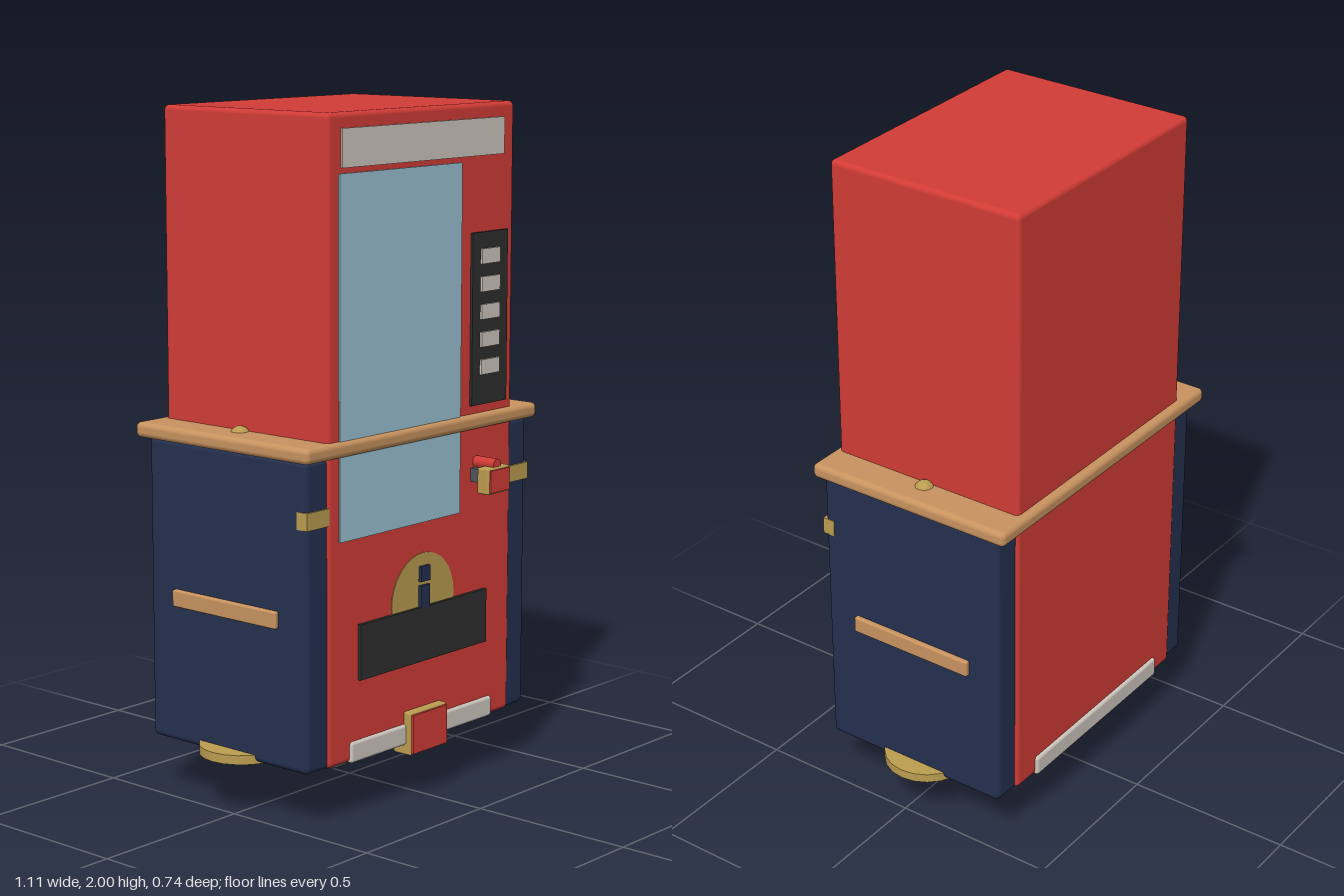
import * as THREE from 'three';
import { RoundedBoxGeometry } from 'three/addons/geometries/RoundedBoxGeometry.js';

const mat = (name, color) => {
  const m = new THREE.MeshStandardMaterial({ color });
  m.name = name;
  return m;
};

export function createModel() {
  const model = new THREE.Group();
  model.name = 'vendingMachine';

  const red = mat('red', 0xd23c36);
  const navy = mat('navy', 0x24304f);
  const tan = mat('tan', 0xc8935f);
  const gold = mat('gold', 0xbb9d50);
  const glass = mat('glassBlue', 0x9ac2d3);
  const dark = mat('charcoal', 0x2e2e2e);
  const pale = mat('paleGrey', 0xcfc8bf);
  const steel = mat('steel', 0x50555c);

  const add = (name, geometry, material, x = 0, y = 0, z = 0) => {
    const mesh = new THREE.Mesh(geometry, material);
    mesh.name = name;
    mesh.position.set(x, y, z);
    model.add(mesh);
    return mesh;
  };
  // Box given by its limits; r rounds the edges
  const box = (name, material, [x0, x1], [y0, y1], [z0, z1], r = 0) => {
    const s = [x1 - x0, y1 - y0, z1 - z0];
    const g = r ? new RoundedBoxGeometry(...s, 3, r) : new THREE.BoxGeometry(...s);
    return add(name, g, material, (x0 + x1) / 2, (y0 + y1) / 2, (z0 + z1) / 2);
  };

  // Main bodies
  box('cabinet', red, [-0.41, 0.41], [0.17, 2], [-0.345, 0.28], 0.015);
  box('lowerCasing', navy, [-0.493, 0.493], [0.169, 1.06], [-0.335, 0.273], 0.018);
  box('ledge', tan, [-0.515, 0.515], [1.055, 1.1], [-0.37, 0.297], 0.016);
  box('baseRail', pale, [-0.32, 0.32], [0.167, 0.23], [-0.355, 0.288], 0.01);

  // Front panels
  box('headerPanel', pale, [-0.355, 0.355], [1.85, 1.957], [0.278, 0.286]);
  box('window', glass, [-0.365, 0.163], [0.815, 1.835], [0.278, 0.285]);
  box('keypad', dark, [0.21, 0.373], [1.125, 1.63], [0.278, 0.288]);
  for (let i = 0; i < 5; i++) {
    const y = 1.56 - i * 0.081;
    box('keypadButton', pale, [0.246, 0.33], [y - 0.022, y + 0.022], [0.286, 0.295]);
  }

  // Delivery slot with round lock plate
  box('deliverySlot', dark, [-0.284, 0.284], [0.405, 0.567], [0.278, 0.291]);
  const plate = add('lockPlate', new THREE.CylinderGeometry(0.14, 0.14, 0.006, 32), gold, 0, 0.585, 0.279);
  plate.rotation.x = Math.PI / 2;
  box('lockStem', navy, [-0.02, 0.02], [0.565, 0.63], [0.278, 0.292]);
  box('lockButton', navy, [-0.02, 0.02], [0.642, 0.687], [0.278, 0.292]);

  // Protruding latch
  box('latchStem', steel, [0.217, 0.275], [0.9, 0.94], [0.27, 0.325]);
  box('latchBlock', gold, [0.197, 0.297], [0.872, 0.95], [0.32, 0.363], 0.006);
  box('latchFace', red, [0.203, 0.291], [0.878, 0.944], [0.36, 0.368]);
  const pin = add('latchPin', new THREE.CylinderGeometry(0.018, 0.018, 0.082, 12), red, 0.245, 0.956, 0.316);
  pin.rotation.x = Math.PI / 2;

  // Bottom clasp
  box('claspFrame', gold, [-0.082, 0.082], [0.138, 0.266], [0.24, 0.305], 0.006);
  box('claspFace', red, [-0.077, 0.077], [0.144, 0.259], [0.303, 0.312]);

  // Mirrored side fittings
  for (const s of [-1, 1]) {
    box('cornerStrap', gold, [s * 0.445 - 0.05, s * 0.445 + 0.05], [0.868, 0.918], [0.24, 0.2785]);
    box('sideRail', tan, [s * 0.495 - 0.012, s * 0.495 + 0.012], [0.575, 0.625], [-0.235, 0.168], 0.006);
    add('ledgeKnob', new THREE.SphereGeometry(0.03, 16, 12), gold, s * 0.427, 1.086, -0.036);
    add('sideFoot', new THREE.CylinderGeometry(0.128, 0.128, 0.027, 20), gold, s * 0.427, 0.178, -0.032);
  }

  // Tilted kickstand beneath
  box('standPlate', steel, [-0.035, 0.035], [0.148, 0.172], [-0.09, 0.16], 0.008);
  box('standHinge', dark, [-0.02, 0.02], [0.115, 0.155], [-0.07, -0.037]);
  const stand = add('standLeg', new RoundedBoxGeometry(0.058, 0.17, 0.07, 3, 0.012), steel, 0, 0.091, -0.082);
  stand.rotation.x = -0.24;

  return model;
}
